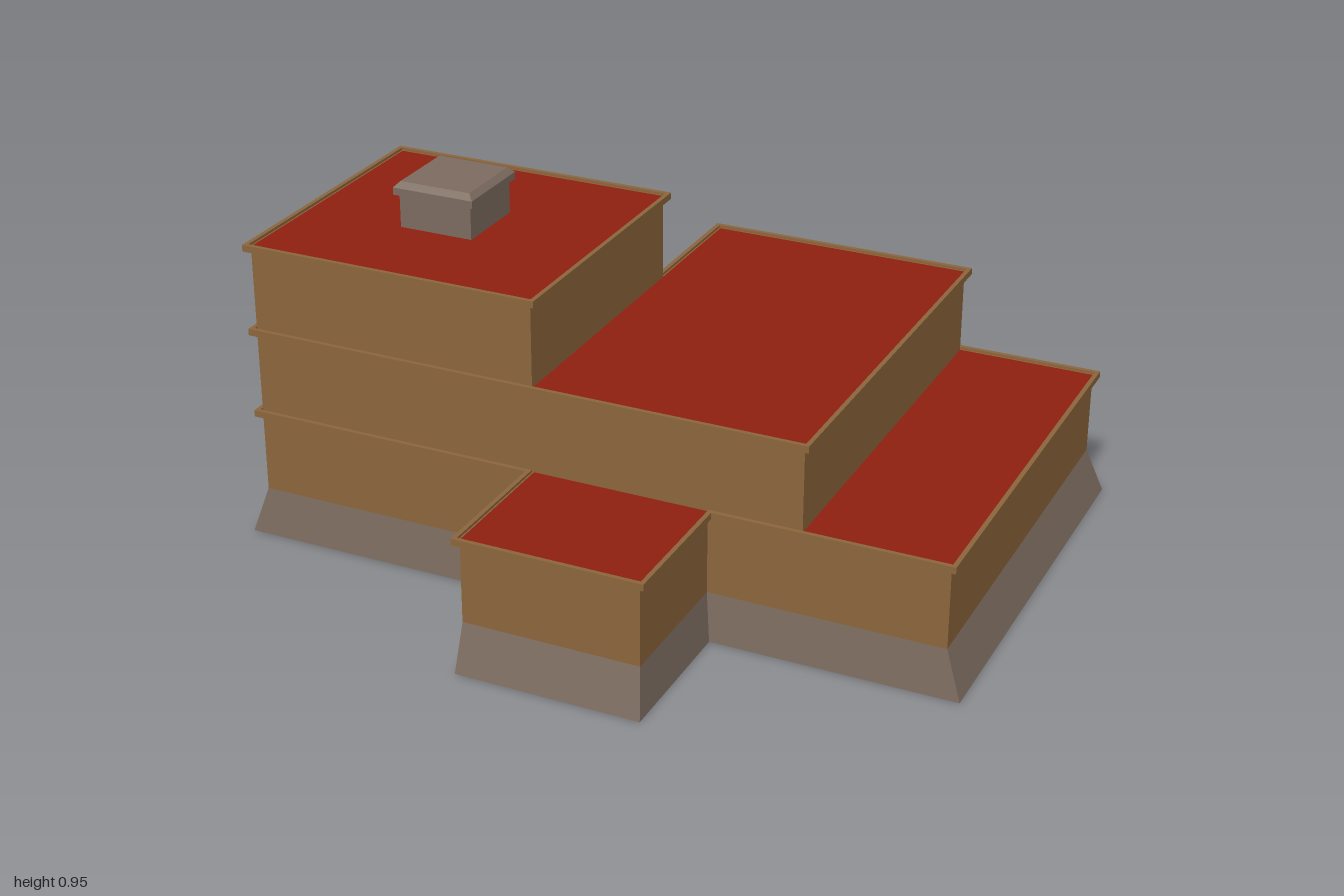
import * as THREE from 'three';

const paint = (name, color) => new THREE.MeshStandardMaterial({ name, color, side: THREE.DoubleSide });

// Skin between stacked rings of [x, -z] points; each ring is { y, pts }
function loft(rings) {
  const pos = [];
  for (let r = 0; r < rings.length - 1; r++) {
    const lo = rings[r], hi = rings[r + 1], n = lo.pts.length;
    for (let i = 0; i < n; i++) {
      const j = (i + 1) % n;
      const at = (ring, k) => [ring.pts[k][0], ring.y, -ring.pts[k][1]];
      const a = at(lo, i), b = at(lo, j), c = at(hi, j), d = at(hi, i);
      pos.push(...a, ...b, ...c, ...a, ...c, ...d);
    }
  }
  const geo = new THREE.BufferGeometry();
  geo.setAttribute('position', new THREE.Float32BufferAttribute(pos, 3));
  geo.computeVertexNormals();
  return geo;
}

// Push a right-angled, counter-clockwise outline outwards by d
function offset(pts, d) {
  const n = pts.length;
  const normal = (a, b) => {
    const l = Math.hypot(b[0] - a[0], b[1] - a[1]);
    return [(b[1] - a[1]) / l, (a[0] - b[0]) / l];
  };
  return pts.map((p, i) => {
    const u = normal(pts[(i + n - 1) % n], p), v = normal(p, pts[(i + 1) % n]);
    return [p[0] + (u[0] + v[0]) * d, p[1] + (u[1] + v[1]) * d];
  });
}

const rect = (x0, x1, v0, v1) => [[x0, v0], [x1, v0], [x1, v1], [x0, v1]];

export function createModel() {
  const model = new THREE.Group();
  model.name = 'steppedBuilding';
  const adobe = paint('adobe', 0x8b653c);
  const stone = paint('stone', 0x7c6b5f);
  const roofRed = paint('roofRed', 0x8f2010);

  const add = (name, geo, mat) => {
    const mesh = new THREE.Mesh(geo, mat);
    mesh.name = name;
    model.add(mesh);
    return mesh;
  };

  // Plan lines shared by the storeys
  const W = -0.952, M = -0.148, P = 0.33, S = 0.58, E = 0.958;
  const front = -0.382, porch = -0.765, wingBack = 0.382, back = 0.765;
  const ground = [[W, front], [M, front], [M, porch], [P, porch], [P, front],
    [E, front], [E, back], [M, back], [M, wingBack], [W, wingBack]];
  const middle = [[W, front], [S, front], [S, back], [M, back], [M, wingBack], [W, wingBack]];
  const tower = rect(W, M, front, wingBack);

  // Flared stone plinth, open underneath
  const flared = ground.map(([x, v]) => [x * 1.046, v * 1.046]);
  add('plinth', loft([{ y: 0, pts: flared }, { y: 0.13, pts: ground }]), stone);

  // Storeys: hollow walls with a projecting cornice, and roofs where exposed
  const storeys = [
    { name: 'groundStorey', plan: ground, bottom: 0.13, top: 0.365,
      roofs: [rect(S, E, front, back), rect(M, P, porch, front)] },
    { name: 'middleStorey', plan: middle, bottom: 0.358, top: 0.6,
      roofs: [rect(M, S, front, back)] },
    { name: 'towerStorey', plan: tower, bottom: 0.593, top: 0.835, roofs: [tower] },
  ];
  for (const { name, plan, bottom, top, roofs } of storeys) {
    const under = top - 0.018, deck = top - 0.007;
    add(name + 'Walls', loft([{ y: bottom, pts: plan }, { y: under, pts: plan }]), adobe);
    const profile = [[0, under], [0.016, under], [0.016, top], [0.004, top], [0.004, deck], [0, deck]];
    add(name + 'Cornice', loft(profile.map(([d, y]) => ({ y, pts: offset(plan, d) }))), adobe);
    for (const r of roofs) {
      const shape = new THREE.Shape(r.map(([x, v]) => new THREE.Vector2(x, v)));
      const roof = add(name + 'Roof', new THREE.ShapeGeometry(shape), roofRed);
      roof.rotation.x = -Math.PI / 2;
      roof.position.y = deck;
    }
  }

  // Chimney with an overhanging, bevelled cap
  const shaft = rect(-0.672, -0.464, -0.105, 0.105);
  const chimney = [[0, 0.828], [0, 0.92], [0.012, 0.92], [0.012, 0.94], [-0.003, 0.955]];
  add('chimney', loft(chimney.map(([d, y]) => ({ y, pts: offset(shaft, d) }))), stone);
  const lid = add('chimneyTop', new THREE.PlaneGeometry(0.202, 0.204), stone);
  lid.rotation.x = -Math.PI / 2;
  lid.position.set(-0.568, 0.955, 0);

  return model;
}
